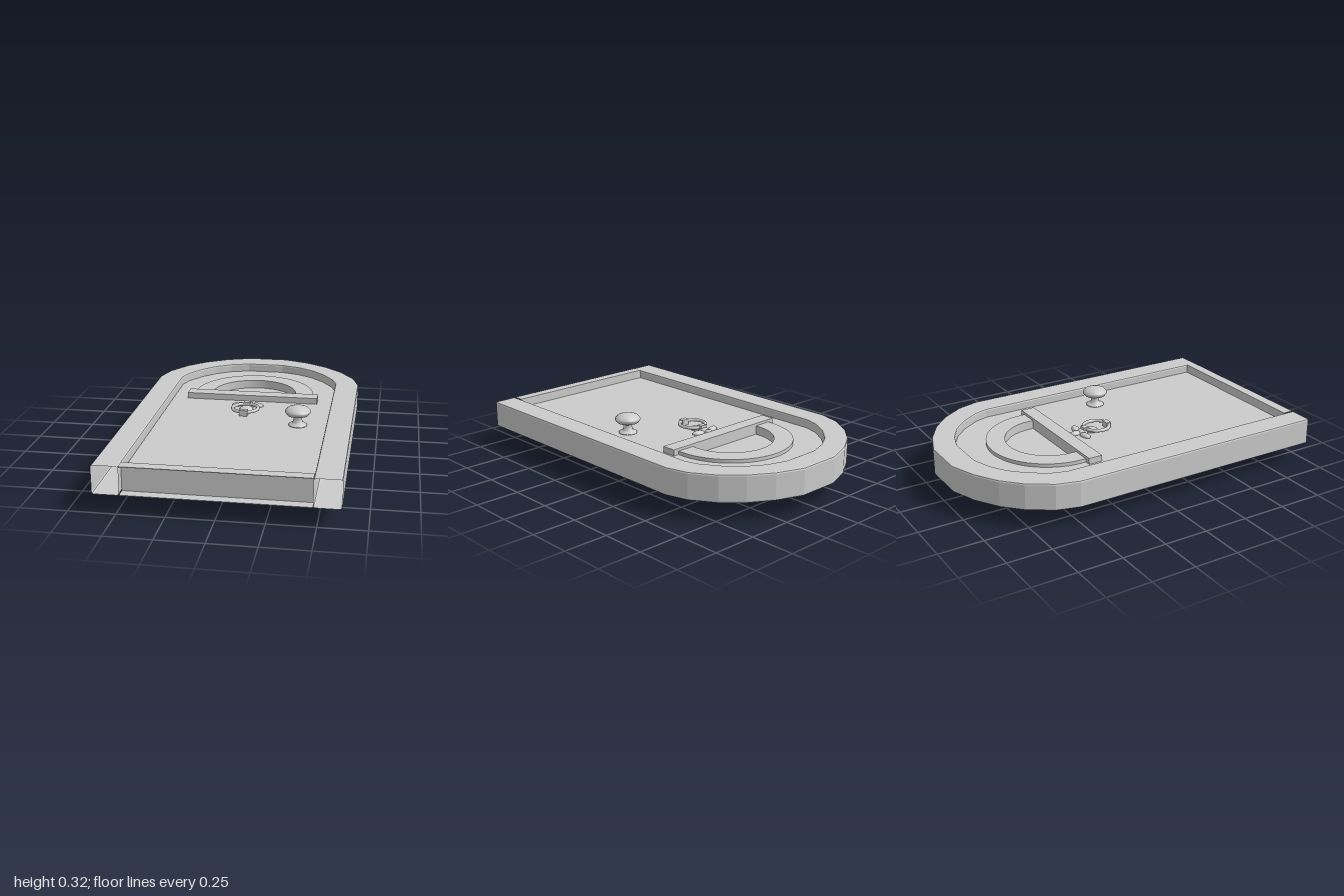
import * as THREE from 'three';

const grey = new THREE.MeshStandardMaterial({ color: 0xcccccc });
const flat = new THREE.MeshStandardMaterial({ color: 0xcccccc, flatShading: true });
const openFlat = new THREE.MeshStandardMaterial({ color: 0xcccccc, flatShading: true, side: THREE.DoubleSide });

function part(name, geometry, material = flat, x = 0, y = 0, z = 0) {
  const mesh = new THREE.Mesh(geometry, material);
  mesh.name = name;
  mesh.position.set(x, y, z);
  return mesh;
}

// Half of each arch outline (x, z) from the springing to just before the crown
const outerHalf = [[0.62, 1], [0.62, -0.51], [0.585, -0.635], [0.5, -0.765], [0.4, -0.86], [0.27, -0.94], [0.12, -0.995]];
const innerHalf = [[0.48, 1], [0.48, -0.51], [0.455, -0.59], [0.39, -0.69], [0.31, -0.77], [0.22, -0.825], [0.11, -0.86]];
const mirrored = (half) => [...half.map(([x, z]) => [-x, z]), ...half.slice().reverse()];

// Hollow frame: rounded section swept between inner and outer outlines, open at the feet
function frameGeometry(y0, y1) {
  const inner = mirrored(innerHalf), outer = mirrored(outerHalf);
  const e = 0.07, r = 0.01, k = 0.3;
  const section = [
    [e, y1], [1 - e, y1], [1 - e * k, y1 - r * k], [1, y1 - r],
    [1, y0 + r], [1 - e * k, y0 + r * k], [1 - e, y0],
    [e, y0], [e * k, y0 + r * k], [0, y0 + r], [0, y1 - r], [e * k, y1 - r * k],
  ];
  const pos = [], index = [], n = section.length;
  inner.forEach(([ix, iz], i) => {
    const [ox, oz] = outer[i];
    section.forEach(([t, y], j) => {
      pos.push(ix + (ox - ix) * t, y, iz + (oz - iz) * t);
      if (i === inner.length - 1) return;
      const a = i * n + j, b = i * n + (j + 1) % n;
      index.push(a, a + n, b, b, a + n, b + n);
    });
  });
  const g = new THREE.BufferGeometry();
  g.setAttribute('position', new THREE.Float32BufferAttribute(pos, 3));
  g.setIndex(index);
  g.computeVertexNormals();
  return g;
}

// Extrudes a plan shape (drawn in x, -z) upward from y0 to y1
function slab(shape, y0, y1) {
  const g = new THREE.ExtrudeGeometry(shape, { depth: y1 - y0, bevelEnabled: false, curveSegments: 24 });
  return g.rotateX(-Math.PI / 2).translate(0, y0, 0);
}

// Half-round window outline with a short straight foot
function archPath(Type, r) {
  const p = new Type();
  p.moveTo(-r, 0.32);
  p.lineTo(r, 0.32);
  p.lineTo(r, 0.35);
  p.absarc(0, 0.35, r, 0, Math.PI, false);
  p.closePath();
  return p;
}

function knob(name, sign, baseY, reach) {
  const profile = [
    [0, 0], [0.052, 0], [0.052, 0.006], [0.042, 0.013], [0.026, 0.02], [0.023, reach - 0.064],
    [0.035, reach - 0.061], [0.06, reach - 0.052], [0.072, reach - 0.036], [0.07, reach - 0.026],
    [0.056, reach - 0.012], [0.03, reach - 0.003], [0, reach],
  ].map(([r, y]) => new THREE.Vector2(r, y));
  const mesh = part(name, new THREE.LatheGeometry(profile, 24), grey, 0.315, baseY, 0.135);
  if (sign < 0) mesh.rotation.x = Math.PI;
  return mesh;
}

export function createModel() {
  const door = new THREE.Group();
  door.name = 'archedDoor';
  const bottom = 0.135, top = 0.205;

  door.add(part('frame', frameGeometry(0.102, 0.255), openFlat));

  // Threshold: a shell open to the front
  const sill = new THREE.Group();
  sill.name = 'sill';
  const strip = (y) => part('sillFace', new THREE.BoxGeometry(0.96, 0.003, 0.06), flat, 0, y, 0.97);
  sill.add(strip(0.2545), strip(0.1025));
  sill.add(part('sillWall', new THREE.BoxGeometry(0.96, 0.152, 0.003), flat, 0, 0.1785, 0.9415));
  door.add(sill);

  // Door leaf with window opening
  const outline = mirrored(innerHalf).map(([x, z]) => new THREE.Vector2(x * 0.995, -Math.min(z, 0.94)));
  const leaf = new THREE.Shape(outline);
  leaf.holes.push(archPath(THREE.Path, 0.25));
  door.add(part('doorLeaf', slab(leaf, bottom, top)));

  // Window: pane, surround and ledge, seen on both faces
  door.add(part('windowPane', slab(archPath(THREE.Shape, 0.25), 0.165, 0.175)));
  const surround = archPath(THREE.Shape, 0.355);
  surround.holes.push(archPath(THREE.Path, 0.25));
  door.add(part('windowSurround', slab(surround, 0.115, 0.225)));
  door.add(part('windowLedge', new THREE.BoxGeometry(0.78, 0.135, 0.08), flat, 0, 0.1725, -0.285));

  door.add(knob('upperKnob', 1, top, 0.115), knob('lowerKnob', -1, bottom, 0.135));

  // Knocker: leaf-shaped mount, hanging ring and strike
  const knocker = new THREE.Group();
  knocker.name = 'knocker';
  knocker.position.set(-0.01, top, 0);
  [[0, -0.19, 0.022, 0.033, 0], [-0.055, -0.158, 0.038, 0.021, 0.25], [0.055, -0.158, 0.038, 0.021, -0.25],
    [0, -0.145, 0.035, 0.03, 0], [0, -0.09, 0.04, 0.04, 0]].forEach(([x, z, rx, rz, turn]) => {
    const lobe = part('mountLobe', new THREE.SphereGeometry(1, 16, 10), grey, x, 0.004, z);
    lobe.scale.set(rx, 0.016, rz);
    lobe.rotation.y = turn;
    knocker.add(lobe);
  });
  const ring = part('knockerRing', new THREE.TorusGeometry(0.074, 0.01, 8, 28), grey, 0, 0.022, -0.052);
  ring.rotation.x = Math.PI / 2;
  knocker.add(ring);
  knocker.add(part('ringHinge', new THREE.BoxGeometry(0.04, 0.035, 0.03), flat, 0, 0.0175, -0.13));
  knocker.add(part('strike', new THREE.BoxGeometry(0.046, 0.034, 0.03), flat, 0, 0.017, 0.018));
  door.add(knocker);

  return door;
}
